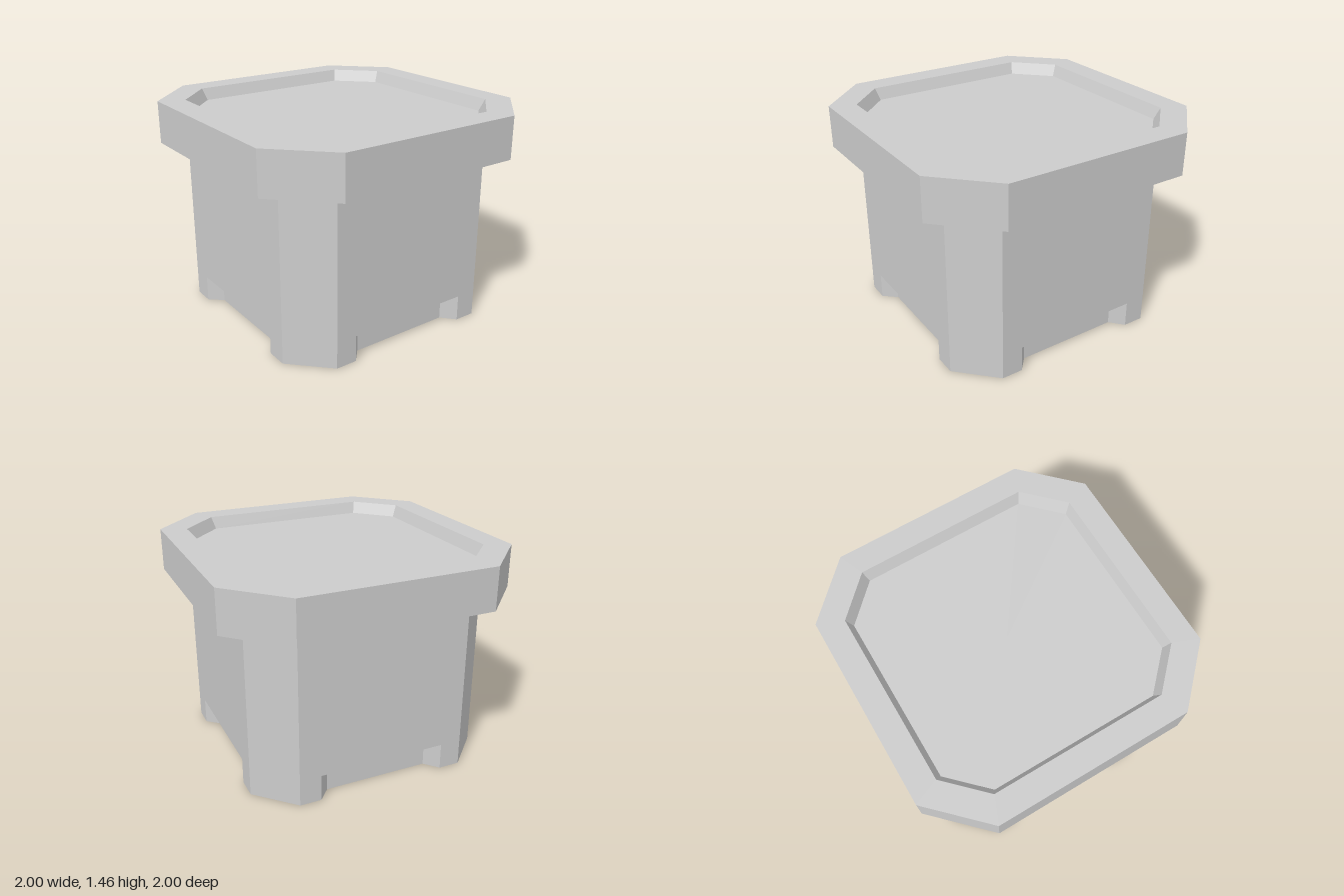
import * as THREE from 'three';

// Chamfered-square outline: half width w, half length of the straight side s
const octagon = (w, s) => [[w, -s], [w, s], [s, w], [-s, w], [-w, s], [-w, -s], [-s, -w], [s, -w]];

// Flat-faced skin through chamfered-square rings [w, s, y], ordered bottom, outside, top
function loft(rings) {
  const pos = [];
  const loops = rings.map(([w, s, y]) => octagon(w, s).map(([x, d]) => [x, y, -d]));
  for (let i = 0; i < loops.length - 1; i++) {
    for (let j = 0; j < 8; j++) {
      const k = (j + 1) % 8;
      const a = loops[i][j], b = loops[i][k], c = loops[i + 1][k], d = loops[i + 1][j];
      if (rings[i][0] > 0) pos.push(...a, ...b, ...c);
      if (rings[i + 1][0] > 0) pos.push(...a, ...c, ...d);
    }
  }
  const geo = new THREE.BufferGeometry();
  geo.setAttribute('position', new THREE.Float32BufferAttribute(pos, 3));
  geo.computeVertexNormals();
  return geo;
}

// Foot outline: the body outline with a splayed notch in each of its four sides
function footGeometry(w, s, height) {
  const outer = 0.44, inner = 0.36, depth = 0.09;
  const side = [[w, -s], [w, -outer], [w - depth, -inner], [w - depth, inner], [w, outer], [w, s]];
  const points = [];
  for (let q = 0; q < 4; q++) {
    for (const [x, y] of side) {
      points.push(new THREE.Vector2(x, y).rotateAround(new THREE.Vector2(), q * Math.PI / 2));
    }
  }
  const geo = new THREE.ExtrudeGeometry(new THREE.Shape(points), { depth: height, bevelEnabled: false });
  return geo.rotateX(-Math.PI / 2);
}

export function createModel() {
  const group = new THREE.Group();
  const grey = new THREE.MeshStandardMaterial({ color: 0xcccccc });
  grey.name = 'plain grey';

  const add = (name, geo) => {
    const mesh = new THREE.Mesh(geo, grey);
    mesh.name = name;
    group.add(mesh);
  };

  const w = 0.83, s = 0.585, footTop = 0.18, rimBottom = 1.17, rimTop = 1.46, floorY = 1.38;

  // Notched base and the plain body above it
  add('notchedFoot', footGeometry(w, s, footTop));
  add('body', loft([[0, 0, footTop], [w, s, footTop], [w, s, rimBottom]]));

  // Overhanging rim with a shallow sloped recess
  add('rim', loft([[w, s, rimBottom], [1, 0.655, rimBottom], [1, 0.655, rimTop], [w, s, rimTop], [0.795, 0.563, floorY]]));
  add('recessFloor', loft([[0.795, 0.563, floorY], [0, 0, floorY]]));

  return group;
}
